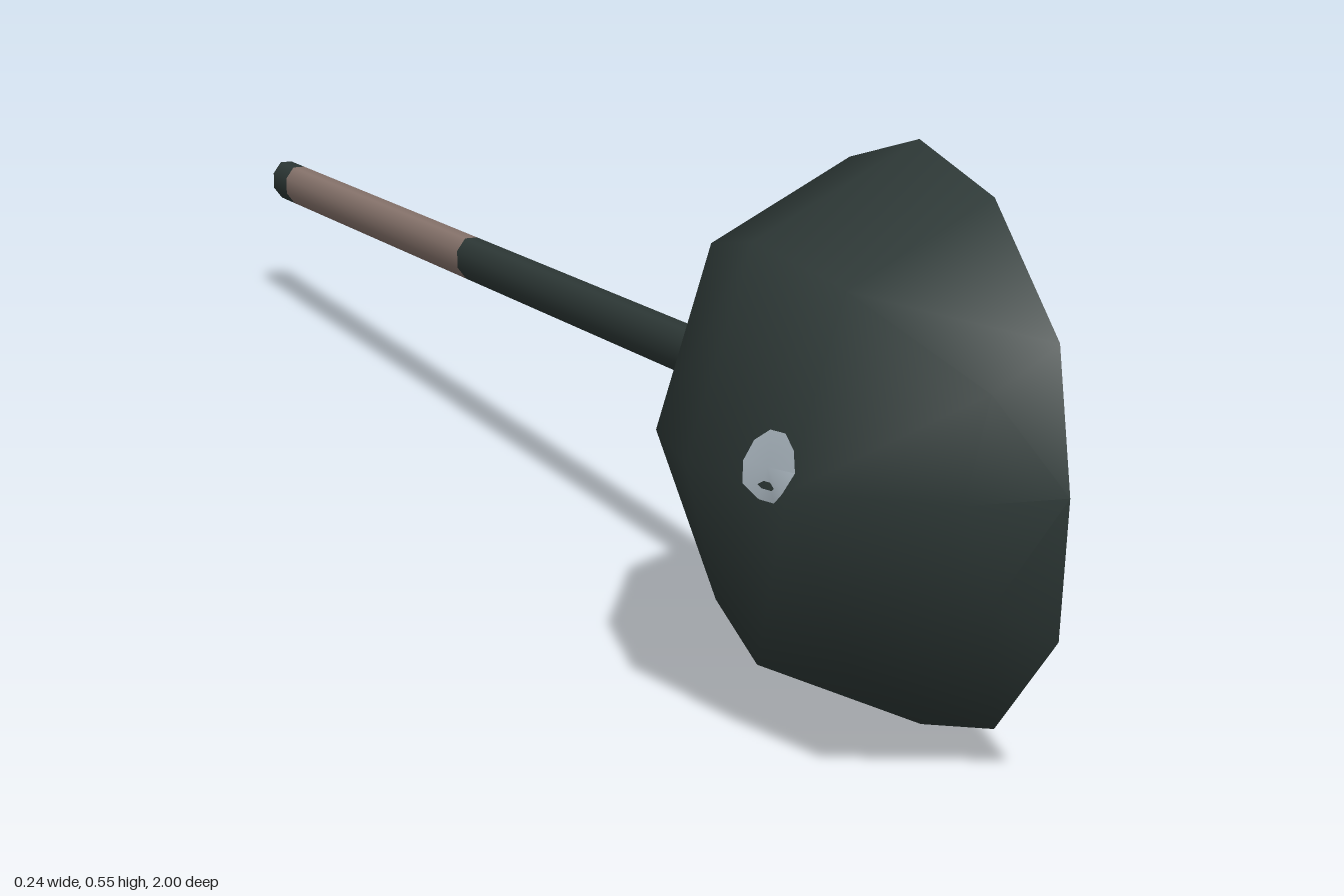
import * as THREE from 'three';

const RIM_X = 0.118;
// Bowl cross-sections along z: [z, half height, depth]
const RINGS = [
  [-0.265, 0, 0], [-0.247, 0.131, 0.092], [-0.136, 0.24, 0.203], [0, 0.274, 0.236],
  [0.136, 0.24, 0.203], [0.247, 0.131, 0.092], [0.265, 0, 0],
];
// Half-octagon section: [height fraction, depth fraction]
const SECTION = [[1, 0], [0.71, 0.71], [0, 1], [-0.71, 0.71], [-1, 0]];

function bowlGeometry() {
  const pos = [], idx = [], n = SECTION.length;
  for (const [z, h, d] of RINGS)
    for (const [fy, fx] of SECTION) pos.push(RIM_X - d * fx, h * fy, z);
  for (let i = 0; i < RINGS.length - 1; i++)
    for (let j = 0; j < n - 1; j++) {
      const a = i * n + j, b = a + n;
      idx.push(a, a + 1, b, b, a + 1, b + 1);
    }
  const g = new THREE.BufferGeometry();
  g.setAttribute('position', new THREE.Float32BufferAttribute(pos, 3));
  g.setIndex(idx);
  g.computeVertexNormals();
  return g;
}

// x of the bowl wall at a given height and z
function wallX(y, z) {
  let i = 0;
  while (i < RINGS.length - 2 && RINGS[i + 1][0] < z) i++;
  const [z0, h0, d0] = RINGS[i], [z1, h1, d1] = RINGS[i + 1];
  const t = (z - z0) / (z1 - z0);
  const q = Math.abs(y) / (h0 + (h1 - h0) * t);
  const f = q < 0.71 ? 1 - (q / 0.71) * 0.29 : (0.71 * (1 - q)) / 0.29;
  return RIM_X - (d0 + (d1 - d0) * t) * f;
}

// Small disc laid over the wall
function spotGeometry(offset) {
  const g = new THREE.CircleGeometry(0.032, 10);
  const p = g.attributes.position;
  for (let i = 0; i < p.count; i++) {
    const z = 0.108 + p.getX(i), y = 0.017 + p.getY(i);
    p.setXYZ(i, wallX(y, z) + offset, y, z);
  }
  g.computeVertexNormals();
  return g;
}

export function createModel() {
  const mat = (name, color, side = THREE.FrontSide) => {
    const m = new THREE.MeshStandardMaterial({ color, side });
    m.name = name;
    return m;
  };
  const dark = mat('dark metal', 0x2f3a38, THREE.DoubleSide);
  const wood = mat('grip brown', 0x8c7870);
  const pale = mat('pale spot', 0xaab6bf, THREE.DoubleSide);

  const model = new THREE.Group();
  model.name = 'ladle';
  const body = new THREE.Group();
  body.name = 'tiltedBody';
  body.position.set(0, 0.274, 0.732);
  body.rotation.x = -0.062;
  model.add(body);

  const add = (name, geo, material) => {
    const m = new THREE.Mesh(geo, material);
    m.name = name;
    body.add(m);
    return m;
  };

  add('bowl', bowlGeometry(), dark);
  add('outerSpot', spotGeometry(-0.004), pale);
  add('innerSpot', spotGeometry(0.004), pale);

  // Handle pieces along z, sharing one oval section
  const rod = (name, z0, z1, material, open) => {
    const g = new THREE.CylinderGeometry(1, 1, z0 - z1, 8, 1, open);
    g.rotateY(Math.PI / 8);
    g.rotateX(Math.PI / 2);
    g.scale(0.0195, 0.026, 1);
    add(name, g, material).position.set(0.094, 0, (z0 + z1) / 2);
  };
  rod('handleShaft', -0.255, -1.055, dark, false);
  rod('handleGrip', -1.055, -1.68, wood, true);
  rod('handleEnd', -1.68, -1.733, dark, false);

  return model;
}
